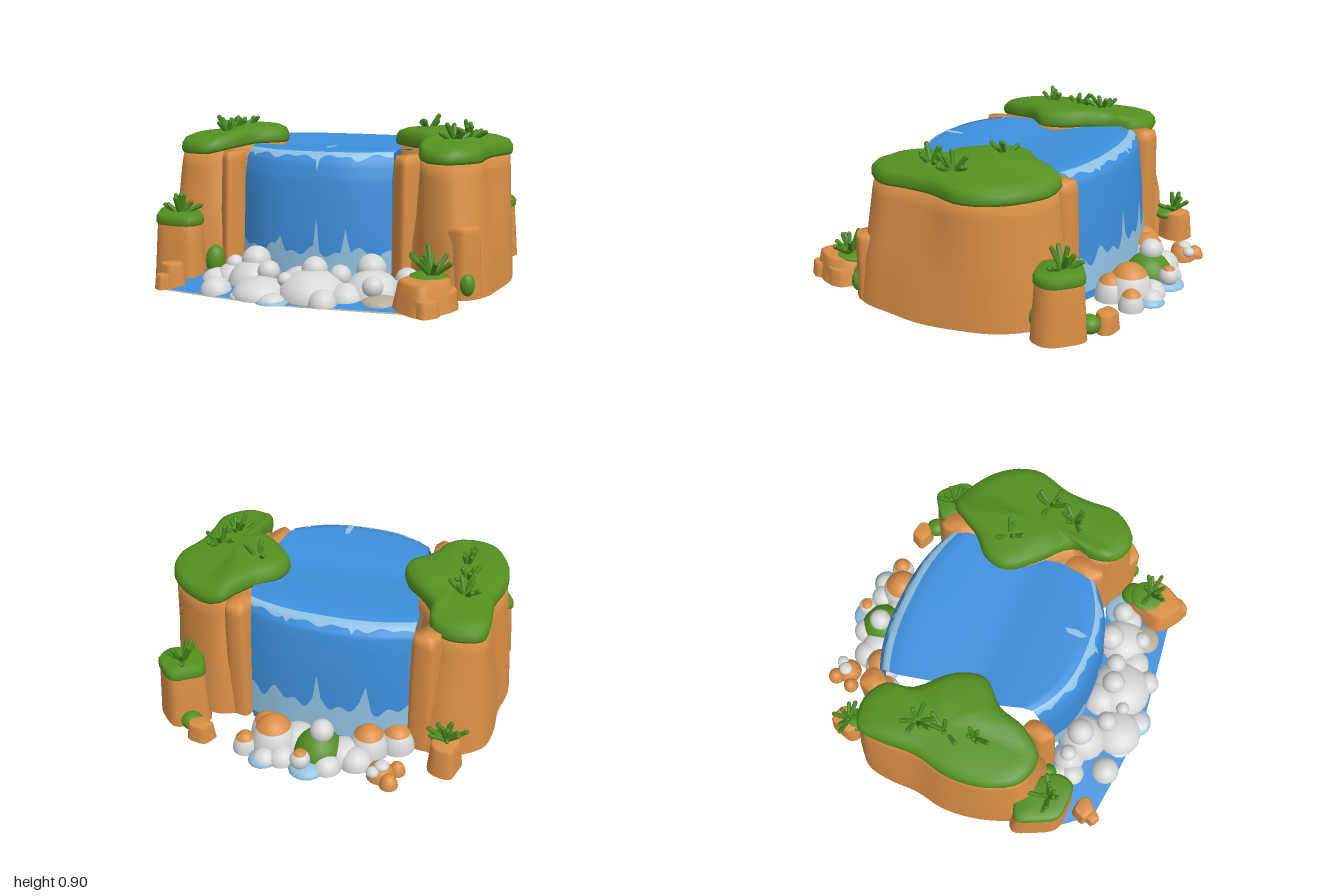
import * as THREE from 'three';

const mat = (name, color) => {
  const m = new THREE.MeshStandardMaterial({ color, side: THREE.DoubleSide });
  m.name = name;
  return m;
};
const V = (x, y, z) => new THREE.Vector3(x, y, z);
const clamp = THREE.MathUtils.clamp, lerp = THREE.MathUtils.lerp;

// Skin a stack of equal-length rings; closed rings get a fan over the last one
function loft(rings, closed = true) {
  const n = rings[0].length, pos = [], idx = [];
  rings.forEach(r => r.forEach(p => pos.push(p.x, p.y, p.z)));
  for (let r = 0; r < rings.length - 1; r++) {
    for (let i = 0; i < (closed ? n : n - 1); i++) {
      const a = r * n + i, b = r * n + (i + 1) % n;
      idx.push(a, a + n, b, b, a + n, b + n);
    }
  }
  if (closed) {
    const last = rings[rings.length - 1], base = (rings.length - 1) * n;
    const c = last.reduce((s, p) => s.add(p), V(0, 0, 0)).divideScalar(n);
    pos.push(c.x, c.y, c.z);
    for (let i = 0; i < n; i++) idx.push(base + i, rings.length * n, base + (i + 1) % n);
  }
  const g = new THREE.BufferGeometry();
  g.setAttribute('position', new THREE.Float32BufferAttribute(pos, 3));
  g.setIndex(idx);
  g.computeVertexNormals();
  return g;
}

// Sort triangles into two material groups by a test on their centre
function splitGroups(g, test) {
  const p = g.attributes.position, parts = [[], []];
  for (let t = 0; t < g.index.count; t += 3) {
    const ids = [0, 1, 2].map(k => g.index.getX(t + k)), c = V(0, 0, 0);
    ids.forEach(i => c.add(V(p.getX(i), p.getY(i), p.getZ(i)).divideScalar(3)));
    parts[test(c) ? 1 : 0].push(...ids);
  }
  g.setIndex(parts.flat());
  g.addGroup(0, parts[0].length, 0);
  g.addGroup(parts[0].length, parts[1].length, 1);
  return g;
}

// Smooth closed outline through [x, z] points
const outline = (pts, n = 56) => new THREE.CatmullRomCurve3(
  pts.map(([x, z]) => V(x, 0, z)), true, 'centripetal').getPoints(n).slice(0, n);

// Plateau outlines, each row: top x, top z, foot x, foot z
const RIGHT = [
  [-.88, -.48, -.93, -.5], [-.72, -.52, -.72, -.62], [-.6, -.45, -.53, -.54], [-.56, -.29, -.5, -.33],
  [-.4, -.11, -.46, -.12], [-.36, .05, -.45, .05], [-.48, .19, -.42, .22], [-.53, .35, -.43, .38],
  [-.64, .48, -.54, .53], [-.8, .45, -.82, .55], [-.9, .29, -.95, .33], [-.93, .08, -1, .05],
  [-.89, -.13, -.97, -.15], [-.9, -.35, -.97, -.35]];
const LEFT = [
  [.55, -.55, .58, -.62], [.75, -.48, .78, -.52], [.89, -.35, .91, -.36], [.95, -.18, .97, -.16],
  [.89, .03, 1, .05], [.88, .19, .98, .24], [.88, .35, .94, .45], [.75, .49, .83, .55],
  [.6, .45, .65, .5], [.55, .32, .55, .42], [.56, .19, .42, .34], [.41, .05, .4, .15],
  [.28, -.11, .4, -.11], [.3, -.24, .4, -.24], [.41, -.35, .4, -.38], [.47, -.45, .42, -.54]];

// Water sheet rows: y, z at centre, z at edges, left x, right x
const WATER = [
  [.03, .59, .45, -.43, .44], [.3, .585, .44, -.43, .44], [.6, .565, .42, -.43, .43], [.7, .54, .39, -.43, .43],
  [.745, .5, .36, -.42, .42], [.76, .43, .3, -.43, .43], [.75, .2, .16, -.47, .45], [.725, 0, 0, -.46, .43],
  [.75, -.25, -.2, -.48, .43], [.765, -.47, -.4, -.53, .41], [.745, -.56, -.48, -.53, .38],
  [.69, -.605, -.52, -.53, .37], [.45, -.635, -.55, -.53, .37], [.03, -.66, -.58, -.53, .37]];

function waterPoint(row, u, off = 0) {
  const i = Math.min(Math.floor(row), WATER.length - 2), f = row - i;
  const [y, zc, ze, xl, xr] = WATER[i].map((v, k) => lerp(v, WATER[i + 1][k], f));
  const z = lerp(zc, ze, Math.abs(u) ** 2.5);
  return V(lerp(xl, xr, (u + 1) / 2), y + off, z + Math.sign(z) * off);
}

export function createModel() {
  const root = new THREE.Group();
  const rockM = mat('orange rock', 0xd98e45), grassM = mat('grass green', 0x549120);
  const leafM = mat('leaf green', 0x468a1c), waterM = mat('water blue', 0x3d8fdc);
  const foamM = mat('pale foam', 0x8fc1e2), stoneM = mat('pale stone', 0xd6d7d7);
  const bedM = mat('river bed tan', 0xb8ab97);
  const add = (name, geo, m, parent = root) => {
    const mesh = new THREE.Mesh(geo, m);
    mesh.name = name;
    parent.add(mesh);
    return mesh;
  };

  let seed = 7;
  const rnd = () => (seed = (seed * 16807) % 2147483647) / 2147483647;

  // Grass tuft: a fan of slim rounded blades
  function tuft(x, y, z, size = 1, count = 8) {
    const g = new THREE.Group();
    g.name = 'grassTuft';
    for (let k = 0; k < count; k++) {
      const len = (.085 + .045 * rnd()) * size;
      const geo = new THREE.CapsuleGeometry(.013, len, 3, 6).translate(0, len / 2, 0);
      const blade = add('blade', geo, leafM, g);
      blade.rotation.set(0, k * 2.4 + rnd(), .2 + .95 * rnd(), 'YXZ');
    }
    g.position.set(x, y, z);
    root.add(g);
  }

  // Cliffs: rock walls with tan channel sides, under an overhanging grass plateau
  const lift = x => .04 * clamp((.64 - Math.abs(x)) / .16, 0, 1);
  function cliff(name, rows) {
    const top = outline(rows.map(r => [r[0], r[1]])), foot = outline(rows.map(r => [r[2], r[3]]));
    const c = top.reduce((s, p) => s.add(p), V(0, 0, 0)).divideScalar(top.length);
    const scaled = (p, s, y) => V(lerp(c.x, p.x, s), y + lift(p.x), lerp(c.z, p.z, s));
    const walls = [[0, 0], [.38, .25], [.52, .5], [.85, .8], [1, 1]].map(([h, t]) =>
      top.map((p, i) => {
        const q = scaled(p, .95, .74);
        return V(lerp(foot[i].x, q.x, t), lerp(.03, q.y, h), lerp(foot[i].z, q.z, t));
      }));
    const inChannel = p => Math.abs(p.x) < .5 && Math.abs(p.z) < .33 && p.y < .7;
    add(name + 'Wall', splitGroups(loft(walls), inChannel), [rockM, bedM]);
    const cap = [[.9, .725], [.98, .71], [1, .727], [.99, .76], [.94, .787], [.8, .805], [.4, .815]];
    add(name + 'Grass', loft(cap.map(([s, y]) => top.map(p => scaled(p, s, y)))), grassM);
  }
  cliff('rightCliff', RIGHT);
  cliff('leftCliff', LEFT);

  // Lumpy rock pillar, optionally with a grass cap
  function pillar(name, x, z, rx, rz, h, { turn = 0, grass = false, taper = .85 } = {}) {
    const lumps = [1, .9, 1.08, .93, 1.06, .88, 1.07, .94, 1.03];
    const shape = outline(lumps.map((k, i) => {
      const a = i / lumps.length * Math.PI * 2, px = Math.cos(a) * rx * k, pz = Math.sin(a) * rz * k;
      return [px * Math.cos(turn) - pz * Math.sin(turn), px * Math.sin(turn) + pz * Math.cos(turn)];
    }), 36);
    const rings = list => list.map(([s, y]) => shape.map(p => V(x + p.x * s, y, z + p.z * s)));
    add(name, loft(rings([[1, .03], [lerp(1, taper, .6), h * .6], [taper, h * .93], [taper * .88, h]])), rockM);
    if (grass) {
      add(name + 'Grass', loft(rings([[taper, h - .045], [taper + .06, h - .035], [taper + .06, h - .005],
        [taper - .03, h + .015], [taper * .5, h + .02]])), grassM);
    }
  }
  pillar('frontRightPillar', -.77, .57, .21, .14, .38, { turn: .75, grass: true });
  pillar('backLeftPillar', .75, -.64, .16, .14, .38, { turn: .6, grass: true });
  pillar('frontLeftBoulder', .71, .75, .15, .18, .18, { taper: .82 });
  pillar('frontLeftBoulderLump', .75, .88, .07, .07, .11);
  pillar('frontLeftBoulderSide', .81, .72, .06, .09, .13);
  pillar('backRightBoulder', -.76, -.69, .09, .11, .2);
  pillar('frontRightFootRock', -.68, .81, .075, .06, .16);
  pillar('frontRightFootLump', -.7, .87, .045, .045, .11);
  pillar('backLeftFootRock', .58, -.83, .08, .06, .13);
  pillar('leftOutcrop', .83, .47, .1, .08, .4, { taper: .88 });
  pillar('leftFrontColumn', .485, .29, .085, .14, .73);
  pillar('rightFrontColumn', -.5, .42, .075, .12, .73, { taper: .75 });
  pillar('leftBackColumn', .45, -.47, .09, .13, .74);
  pillar('rightBackColumn', -.6, -.52, .09, .09, .74);

  // Tufts on plateaus, pillars and boulders
  [[.46, -.16, 5], [.74, -.02, 8], [.7, .14, 8], [-.73, -.19, 7], [-.72, -.03, 5], [-.69, .13, 6]]
    .forEach(([x, z, n]) => tuft(x, .79 + lift(x) * .6, z, .95, n));
  tuft(-.75, .38, .6, 1, 10);
  tuft(.74, .38, -.65, 1);
  tuft(.73, .18, .7, 1.2, 11);
  tuft(-.76, .2, -.68, 1, 11);

  // Waterfall sheet, pouring over front and back
  const us = Array.from({ length: 33 }, (_, i) => i / 16 - 1);
  const rows = Array.from({ length: 40 }, (_, i) => i / 39 * (WATER.length - 1));
  add('waterfall', loft(rows.map(r => us.map(u => waterPoint(r, u))), false), waterM);

  // Ragged foam along the brims and at the foot of each fall: drips are [u, width, length]
  function foam(name, from, to, ragged, drips) {
    const fine = Array.from({ length: 121 }, (_, i) => i / 60 - 1);
    const jag = u => ragged * Math.sin(u * 5 + 1) * Math.sin(u * 17)
      + drips.reduce((s, [c, w, l]) => s + l * Math.max(0, 1 - Math.abs(u - c) / w), 0);
    const strip = [0, .25, .5, .75, 1].map(t => fine.map(u => waterPoint(lerp(from, to + jag(u), t), u, .005)));
    add(name, loft(strip, false), foamM);
  }
  foam('frontBrimFoam', 4.25, 3.55, -.3, [[.13, .03, -.9], [-.85, .06, -.4], [.6, .08, -.3]]);
  foam('frontFootFoam', .1, .72, .12, [[.14, .04, .6], [.5, .06, .5], [-.35, .08, .3]]);
  foam('backBrimFoam', 9.6, 10.3, .2, [[-.3, .05, .5], [.5, .05, .4]]);
  foam('backFootFoam', 12.9, 12.45, -.12, [[.1, .05, -.3], [-.5, .07, -.25]]);
  const splash = add('brimSplash', new THREE.CircleGeometry(.035, 5).rotateX(-Math.PI / 2), foamM);
  splash.position.set(.08, .775, .4);
  splash.scale.set(.6, 1, 2);

  // Front pool sloping away from the fall, with its bed underneath
  const shore = [[-.84, .68], [-.68, .88], [-.35, .92], [0, .95], [.35, .91], [.68, .87], [.85, .74]];
  const foot = [[-.62, .48], [-.45, .5], [-.25, .56], [0, .6], [.25, .56], [.45, .5], [.62, .46]];
  const poolGeo = loft([[shore, .03], [foot, .09]].map(([pts, y]) => pts.map(([x, z]) => V(x, y, z))), false);
  add('pool', poolGeo, waterM);
  add('poolBed', poolGeo, bedM).position.y = -.008;

  // Rounded stones: x, y, z, radius, height radius; low ones become open domes
  const ball = new THREE.SphereGeometry(1, 18, 12);
  const dome = new THREE.SphereGeometry(1, 18, 8, 0, Math.PI * 2, 0, Math.PI / 2);
  const tip = new THREE.SphereGeometry(1.03, 18, 5, 0, Math.PI * 2, 0, .8);
  function stone(name, [x, y, z, r, h = r], m = stoneM, capM = null) {
    const low = y - h < .03;
    for (const [g, mm, n] of [[low ? dome : ball, m, name], [tip, capM, name + 'Top']]) {
      if (!mm) continue;
      const s = add(n, g, mm);
      s.position.set(x, low ? .03 : y, z);
      s.scale.set(r, low ? y + h - .03 : h, r);
    }
  }
  [[-.27, .08, .64, .15, .1], [-.27, .165, .62, .08], [-.42, .07, .61, .1, .07], [-.41, .13, .6, .05],
    [-.4, .065, .84, .085, .05], [-.15, .06, .82, .15, .07], [-.14, .14, .74, .06], [-.02, .12, .8, .04],
    [.11, .08, .74, .19, .09], [.1, .16, .69, .07], [.23, .13, .66, .06], [.4, .08, .64, .16, .09],
    [.37, .16, .57, .08], [.57, .12, .58, .065], [.55, .07, .62, .1, .06], [.44, .11, .75, .055],
    [.22, .06, .88, .075, .05], [0, .08, .65, .12, .08], [.3, .06, .76, .1, .06], [-.5, .06, .66, .08, .05]]
    .forEach(p => stone('frontStone', p));
  [[-.04, .05, .92, .07, .025], [-.2, .04, .84, .11, .02], [-.52, .05, .6, .07, .05]]
    .forEach(p => stone('flatStone', p));
  stone('foamStone', [-.04, .035, .91, .09, .02], foamM);
  stone('foamPatch', [.6, .08, .58, .12, .03], foamM);
  stone('siltPatch', [.48, .05, .76, .1, .03], bedM);
  [[-.48, .09, -.6, .1, .08], [-.34, .1, -.68, .11, .09], [.17, .12, -.78, .13, .1], [.31, .08, -.85, .07, .06],
    [.24, .09, -.7, .09, .08]].forEach(p => stone('backStone', p, stoneM, rockM));
  [[-.45, .07, -.86, .075, .05], [-.53, .06, -.81, .045, .04], [-.51, .06, -.92, .05, .04]]
    .forEach(p => stone('backPebble', p, rockM));
  stone('pebbleTop', [-.46, .11, -.87, .04, .025]);
  stone('pebbleTop', [-.42, .09, -.91, .035, .03]);
  [[-.22, .07, -.76, .11, .06], [-.3, .06, -.8, .09, .06], [.05, .07, -.72, .12, .07], [.18, .06, -.91, .07, .04],
    [-.11, .2, -.79, .065], [-.03, .1, -.93, .055], [.09, .06, -.88, .08, .05], [-.16, .06, -.88, .08, .05]]
    .forEach(p => stone('backStone', p));
  stone('pebbleCap', [-.03, .14, -.93, .035, .02], rockM);
  stone('mossyStone', [-.09, .09, -.79, .14, .1], grassM);
  stone('backFoamStone', [-.06, .05, -.91, .1, .03], foamM);
  stone('backFoamStone', [.19, .045, -.91, .08, .03], foamM);

  // Moss at the feet of the rocks
  [[-.57, .12, .53, .055, .09], [.72, .1, .6, .08, .06], [.66, .08, -.77, .06, .05], [.71, .175, .68, .1, .02],
    [.73, .11, -.53, .08, .08], [.87, .11, .53, .04, .06], [-.74, .18, -.64, .07, .03]]
    .forEach(p => stone('moss', p, grassM));
  return root;
}
